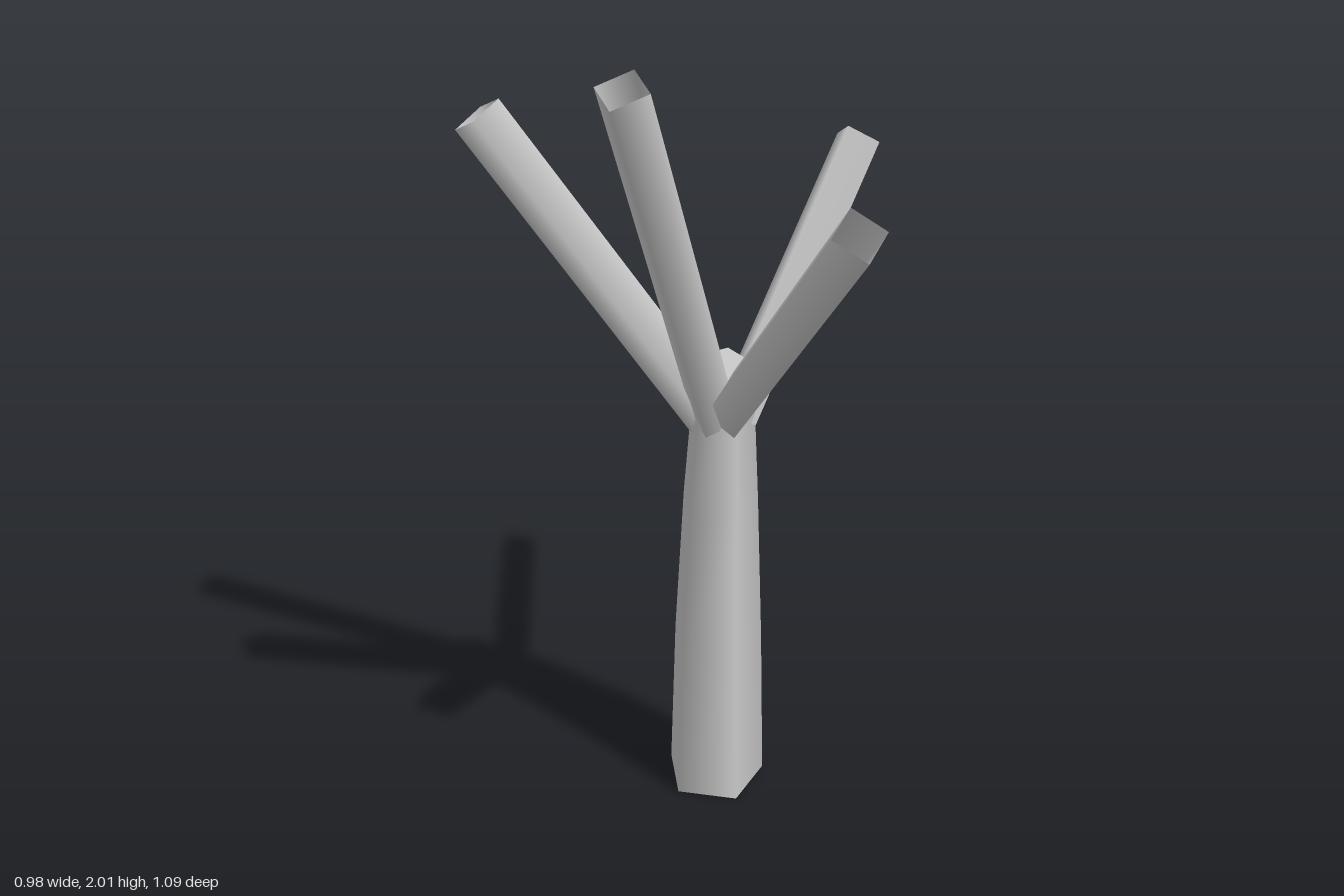
import * as THREE from 'three';

const material = new THREE.MeshStandardMaterial({ color: 0xcccccc, side: THREE.DoubleSide });

// Trunk rings from the ground up: centre y, centre z, radius, forward tilt
const RINGS = [
  [0.007, -0.24, 0.13, 0.055],
  [0.43, -0.222, 0.117, 0.085],
  [0.85, -0.168, 0.096, 0.17],
  [1.245, -0.085, 0.07, 0.19],
];
const TRUNK_X = 0.091;

// Branches: base and tip of each centre line
const BRANCHES = [
  ['rightBranch', [0.07, 1.09, -0.127], [-0.44, 1.808, -0.17]],
  ['frontRightBranch', [0.075, 1.11, -0.09], [-0.137, 1.98, 0.311]],
  ['frontLeftBranch', [0.1, 1.115, -0.09], [0.296, 1.75, 0.5]],
  ['backLeftBranch', [0.125, 1.08, -0.145], [0.444, 1.645, -0.506]],
];

// Five-sided tapering trunk: a unit cylinder bent along the rings
function makeTrunk() {
  const geometry = new THREE.CylinderGeometry(1, 1, 1, 5, RINGS.length - 1, false, THREE.MathUtils.degToRad(22));
  const p = geometry.attributes.position;
  for (let i = 0; i < p.count; i++) {
    const [y, z, radius, tilt] = RINGS[Math.round((p.getY(i) + 0.5) * (RINGS.length - 1))];
    const dz = p.getZ(i) * radius;
    p.setXYZ(i, TRUNK_X + p.getX(i) * radius, y - dz * tilt, z + dz);
  }
  const trunk = new THREE.Mesh(geometry, material);
  trunk.name = 'trunk';
  return trunk;
}

// Straight open four-sided branch with two of its edges level with each other
function makeBranch(name, from, to) {
  const a = new THREE.Vector3(...from);
  const b = new THREE.Vector3(...to);
  const along = b.clone().sub(a);
  const geometry = new THREE.CylinderGeometry(0.06, 0.06, along.length(), 4, 1, true);
  along.normalize();
  const level = new THREE.Vector3(along.z, 0, -along.x).normalize();
  const across = level.clone().cross(along);
  const branch = new THREE.Mesh(geometry, material);
  branch.name = name;
  branch.quaternion.setFromRotationMatrix(new THREE.Matrix4().makeBasis(level, along, across));
  branch.position.addVectors(a, b).multiplyScalar(0.5);
  return branch;
}

export function createModel() {
  const tree = new THREE.Group();
  tree.name = 'bareTree';
  tree.add(makeTrunk());
  for (const [name, from, to] of BRANCHES) tree.add(makeBranch(name, from, to));
  return tree;
}
